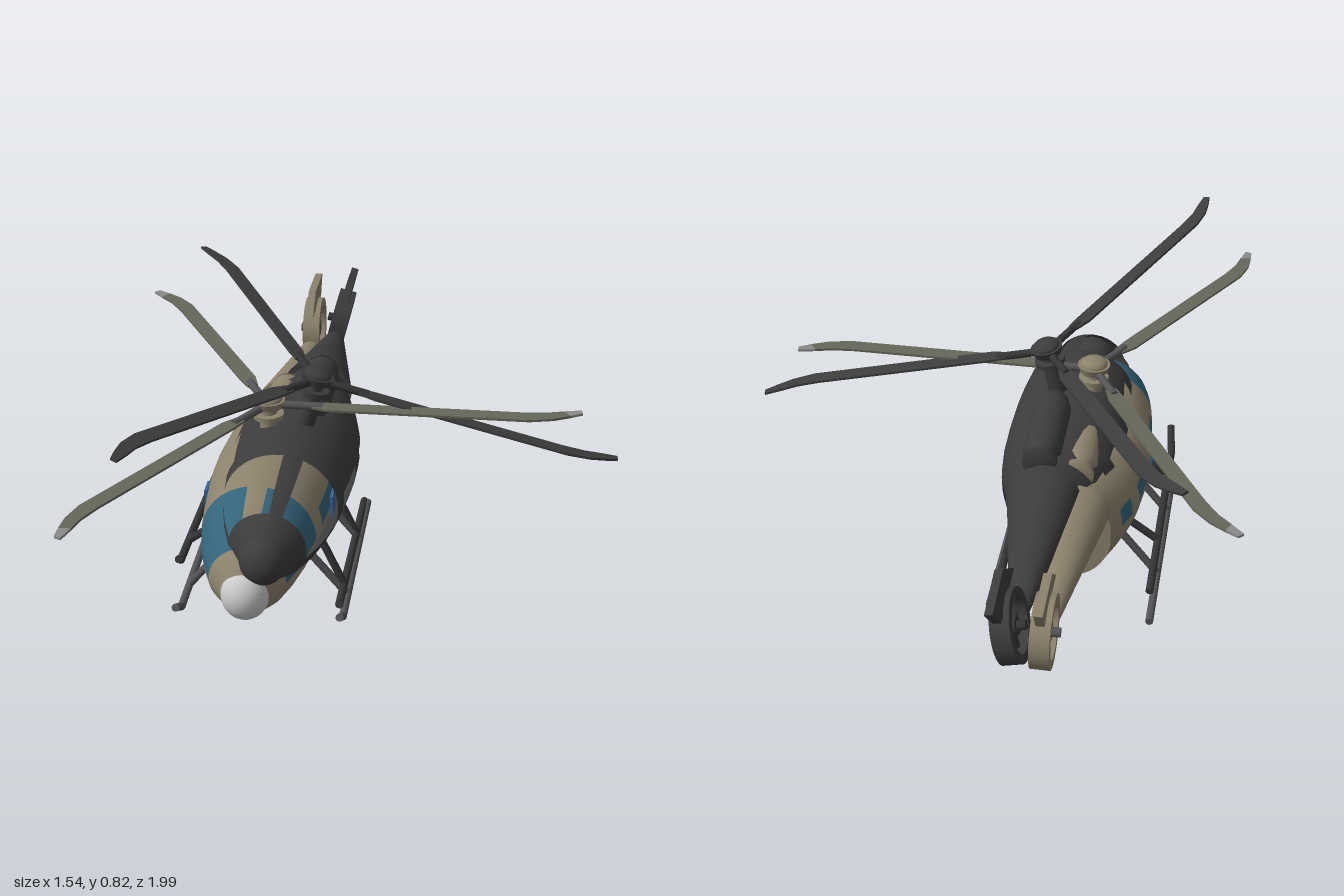
import * as THREE from 'three';

const mat = (name, color) => new THREE.MeshStandardMaterial({ name, color, side: THREE.DoubleSide });
const HUB = [0, 0.6, 0.16];

function add(group, name, geometry, material, pos = [0, 0, 0]) {
  const m = new THREE.Mesh(geometry, material);
  m.name = name;
  m.position.set(...pos);
  group.add(m);
  return m;
}

// straight round bar between two points
function bar(group, name, a, b, r, material) {
  const p = new THREE.Vector3(...a), q = new THREE.Vector3(...b), d = q.clone().sub(p);
  const m = add(group, name, new THREE.CylinderGeometry(r, r, d.length(), 12), material);
  m.position.copy(p).add(q).multiplyScalar(0.5);
  m.quaternion.setFromUnitVectors(new THREE.Vector3(0, 1, 0), d.normalize());
}

// flat plate drawn in (z, y), with thickness centred on x
function sidePlate(shape, t) {
  const g = new THREE.ExtrudeGeometry(shape, { depth: t, bevelEnabled: false, curveSegments: 32 });
  return g.translate(0, 0, -t / 2).rotateY(-Math.PI / 2);
}
const poly = pts => new THREE.Shape(pts.map(p => new THREE.Vector2(...p)));

// fuselage stations: z, widest height, half width, rise, drop
const STATIONS = [
  [0.685, 0.243, 0.001, 0.001, 0.001], [0.68, 0.243, 0.03, 0.03, 0.03], [0.66, 0.245, 0.06, 0.075, 0.07],
  [0.6, 0.258, 0.112, 0.108, 0.097], [0.54, 0.268, 0.137, 0.13, 0.111], [0.47, 0.277, 0.156, 0.147, 0.124],
  [0.39, 0.284, 0.17, 0.165, 0.135], [0.32, 0.288, 0.178, 0.17, 0.146], [0.23, 0.29, 0.186, 0.17, 0.158],
  [0.13, 0.29, 0.191, 0.169, 0.168], [0.02, 0.29, 0.19, 0.168, 0.17], [-0.08, 0.29, 0.18, 0.167, 0.167],
  [-0.145, 0.29, 0.166, 0.167, 0.162], [-0.215, 0.29, 0.142, 0.167, 0.156], [-0.28, 0.29, 0.115, 0.167, 0.15],
];

// which skin cells are window openings (z and angle of the cell centre)
function isWindow(z, deg) {
  const a = deg > 90 ? 180 - deg : deg;   // mirror to one side
  if (z > 0.39 && z < 0.6) return a > 0 && a < 80;
  const cabin = [[0.13, 0.32], [-0.08, 0.02], [-0.215, -0.145]];
  return a > 0 && a < 20 && cabin.some(([lo, hi]) => z > lo && z < hi);
}

function buildFuselage(group, shellMat, glassMat) {
  const N = 36, pos = [], shell = [], glass = [];
  for (const [z, cy, rx, up, down] of STATIONS)
    for (let j = 0; j < N; j++) {
      const a = j / N * Math.PI * 2, s = Math.sin(a);
      pos.push(rx * Math.cos(a), cy + s * (s > 0 ? up : down), z);
    }
  for (let i = 0; i < STATIONS.length - 1; i++)
    for (let j = 0; j < N; j++) {
      const k = (j + 1) % N, a = i * N + j, b = a + N, c = i * N + k, d = c + N;
      const zMid = (STATIONS[i][0] + STATIONS[i + 1][0]) / 2;
      (isWindow(zMid, (j + 0.5) * 360 / N) ? glass : shell).push(a, b, c, b, d, c);
    }
  const whole = new THREE.BufferGeometry();
  whole.setAttribute('position', new THREE.Float32BufferAttribute(pos, 3));
  whole.setIndex([...shell, ...glass]);
  whole.computeVertexNormals();
  const part = index => { const g = whole.clone(); g.setIndex(index); return g; };
  add(group, 'fuselage', part(shell), shellMat);
  if (glassMat) add(group, 'windows', part(glass), glassMat);
  const bulkhead = new THREE.CircleGeometry(1, 36).scale(0.115, 0.158, 1).rotateY(Math.PI);
  add(group, 'rearBulkhead', bulkhead, shellMat, [0, 0.298, -0.28]);
}

function buildRotor(group, c) {
  const rotor = new THREE.Group();
  rotor.name = 'mainRotor';
  rotor.position.set(...HUB);
  group.add(rotor);
  add(rotor, 'mast', new THREE.CylinderGeometry(0.024, 0.032, 0.17, 20), c.hub, [0, -0.095, 0]);
  add(rotor, 'swashplate', new THREE.CylinderGeometry(0.046, 0.046, 0.014, 20), c.hub, [0, -0.035, 0]);
  add(rotor, 'hubDisc', new THREE.CylinderGeometry(0.05, 0.042, 0.024, 20), c.hub, [0, 0.004, 0]);
  const dome = new THREE.SphereGeometry(0.042, 20, 8, 0, Math.PI * 2, 0, Math.PI / 2).scale(1, 0.55, 1);
  add(rotor, 'hubCap', dome, c.hub, [0, 0.016, 0]);
  const plate = pts => new THREE.ExtrudeGeometry(poly(pts), { depth: 0.007, bevelEnabled: false })
    .translate(0, 0, -0.0035).rotateX(-Math.PI / 2);
  for (let i = 0; i < 3; i++) {
    const arm = new THREE.Group();
    arm.name = 'blade';
    arm.rotation.y = i * Math.PI * 2 / 3;
    rotor.add(arm);
    bar(arm, 'bladeGrip', [0.03, 0, 0], [0.16, 0, 0], 0.012, c.grip);
    add(arm, 'bladePanel', plate([[0.13, -0.016], [0.18, -0.028], [0.77, -0.028], [0.84, -0.012],
      [0.89, 0.012], [0.87, 0.04], [0.82, 0.026], [0.75, 0.02], [0.18, 0.02], [0.13, 0.016]]), c.blade);
    add(arm, 'bladeTip', plate([[0.89, 0.012], [0.925, 0.032], [0.922, 0.052], [0.87, 0.04]]), c.tip);
  }
}

function buildTail(group, c) {
  // tapered boom
  const boom = new THREE.CylinderGeometry(0.026, 0.1, 0.49, 32).rotateX(-Math.PI / 2).scale(1.1, 0.9, 1);
  const b = add(group, 'tailBoom', boom, c.body, [0, 0.368, -0.515]);
  b.rotation.x = -0.04;
  // shrouded fan
  const fan = new THREE.Group();
  fan.name = 'tailFan';
  fan.position.set(0, 0.39, -0.85);
  group.add(fan);
  const ring = new THREE.Shape().absarc(0, 0, 0.105, 0, Math.PI * 2);
  ring.holes.push(new THREE.Path().absarc(0, 0, 0.078, 0, Math.PI * 2, true));
  add(fan, 'fanShroud', sidePlate(ring, 0.056), c.body);
  add(fan, 'fanHub', new THREE.CylinderGeometry(0.027, 0.027, 0.04, 20).rotateZ(Math.PI / 2), c.grip);
  bar(fan, 'fanAxle', [-0.045, 0, 0], [0.02, 0, 0], 0.014, c.grip);
  for (let i = 0; i < 10; i++) {
    const blade = new THREE.BoxGeometry(0.008, 0.056, 0.018).rotateY(0.5).translate(0, 0.052, 0);
    add(fan, 'fanBlade', blade.rotateX(i * Math.PI / 5), c.grip);
  }
  // swept fin above the shroud
  add(group, 'tailFin', sidePlate(poly([[-0.72, 0.482], [-0.8, 0.548], [-0.975, 0.54], [-0.935, 0.475]]), 0.024), c.body);
}

function buildSkids(group, c) {
  for (const s of [-1, 1]) {
    const x = s * 0.245;
    bar(group, 'skid', [x, 0.012, -0.31], [x, 0.012, 0.38], 0.012, c.skid);
    bar(group, 'skidToe', [x, 0.012, 0.378], [x, 0.06, 0.46], 0.012, c.skid);
    add(group, 'skidElbow', new THREE.SphereGeometry(0.012, 12, 8), c.skid, [x, 0.012, 0.38]);
    for (const z of [-0.07, 0.26]) bar(group, 'skidStrut', [x, 0.015, z], [s * 0.11, 0.18, z], 0.012, c.skid);
  }
}

function buildEngine(group, c) {
  const profile = [[0, -0.17], [0.05, -0.17], [0.052, -0.15], [0.042, -0.135], [0.057, -0.11],
    [0.058, 0.1], [0.045, 0.145], [0.02, 0.165], [0, 0.168]].map(p => new THREE.Vector2(...p));
  add(group, 'engine', new THREE.LatheGeometry(profile, 28).rotateX(Math.PI / 2), c.body, [0, 0.462, -0.06]);
}

function buildHelicopter(name, c) {
  const g = new THREE.Group();
  g.name = name;
  buildFuselage(g, c.body, c.glass);
  add(g, 'noseBall', new THREE.SphereGeometry(0.07, 28, 18).scale(1, 1.1, 1), c.nose, [0, 0.243, 0.64]);
  if (c.door) for (const s of [-1, 1])
    add(g, 'doorWindow', new THREE.BoxGeometry(0.009, 0.065, 0.06), c.door, [s * 0.191, 0.288, 0.18]);
  buildEngine(g, c);
  buildTail(g, c);
  buildSkids(g, c);
  buildRotor(g, c);
  return g;
}

export function createModel() {
  const model = new THREE.Group();
  model.name = 'helicopters';
  const tan = mat('tan', 0x8c826c), dark = mat('charcoal', 0x3c3c3c), teal = mat('tealGlass', 0x33647a);
  const blue = mat('blueGlass', 0x3a6298), white = mat('paleGrey', 0xcacaca), grey = mat('skidGrey', 0x545456);
  const olive = mat('oliveBlade', 0x66675a), black = mat('darkMetal', 0x343434), tip = mat('tipGrey', 0x8a8a88);

  // upright tan craft
  const first = buildHelicopter('tanHelicopter', { body: tan, glass: teal, door: blue, nose: white,
    hub: tan, grip: grey, blade: olive, tip, skid: grey });
  first.position.x = -0.25;
  model.add(first);

  // tilted dark craft with open windows, pivoted at its rotor hub
  const second = buildHelicopter('darkHelicopter', { body: dark, nose: dark,
    hub: dark, grip: black, blade: dark, tip: dark, skid: black });
  second.position.set(-HUB[0], -HUB[1], -HUB[2]);
  const pivot = new THREE.Group();
  pivot.name = 'darkHelicopterTilt';
  pivot.position.set(-0.11, 0.67, 0.125);
  pivot.rotation.set(-0.052, 0, -0.247);
  pivot.add(second);
  model.add(pivot);
  return model;
}
